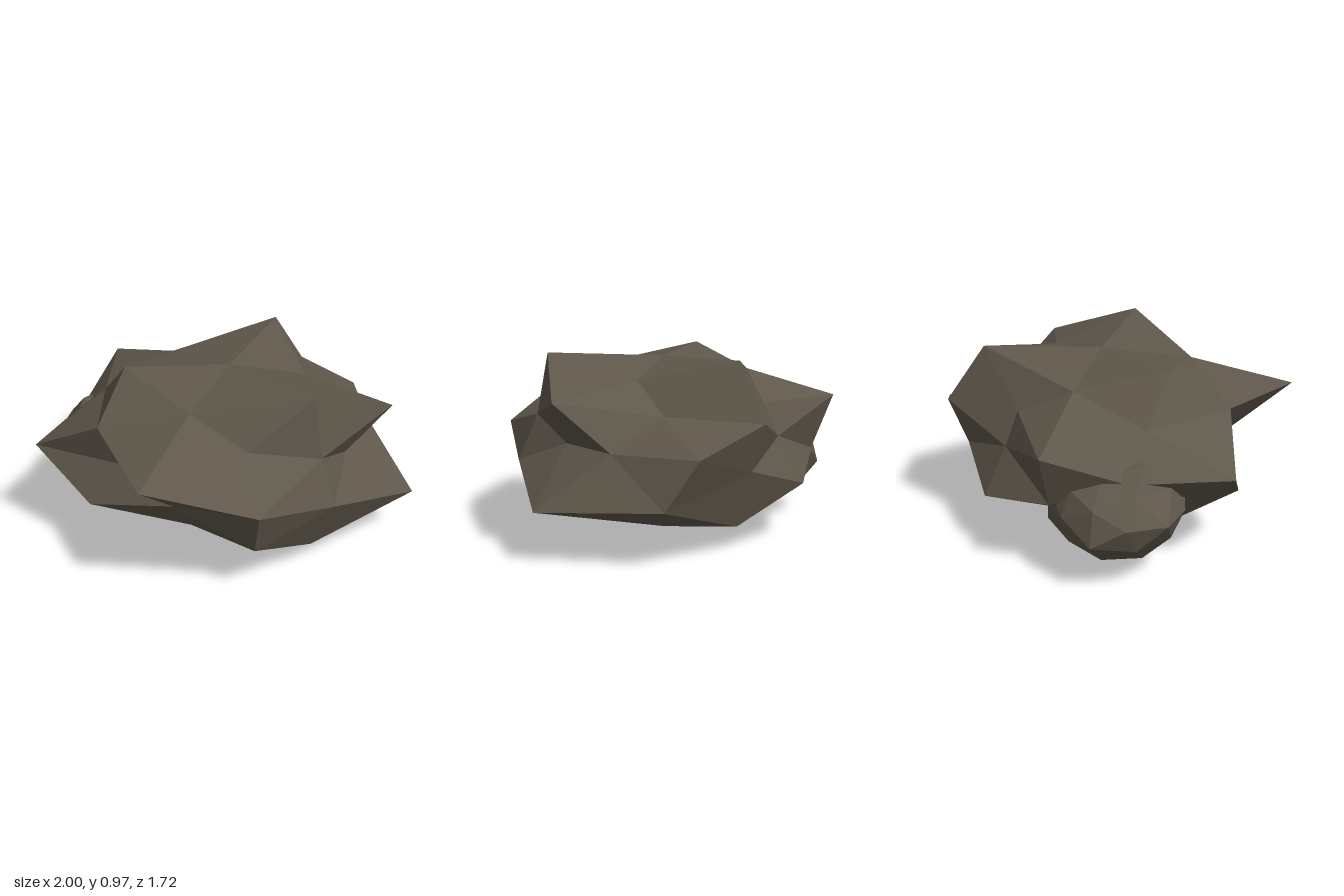
import * as THREE from 'three';

// Radius factors per direction family: longest axis + number of non-zero components.
// Inside a family the order follows the signs (+ before -) of the non-zero x, y, z.
const BOULDER = {
  x1: [0.78, 1.05],
  y1: [0.85, 1.14],
  z1: [0.995, 0.685],
  x2: [0.67, 0.95, 0.655, 0.9],
  y2: [0.78, 0.74, 1.06, 1.05],
  z2: [0.73, 0.7, 1.03, 0.98],
  x3: [1.015, 0.66, 1.178, 1.07, 0.902, 0.805, 0.975, 0.85],
  y3: [1.133, 1.12, 1.14, 1.1, 0.87, 0.835, 0.87, 0.87],
  z3: [0.765, 0.917, 0.88, 0.806, 1.157, 1.08, 0.75, 0.94],
};
const PEBBLE = {
  x1: [0.9, 1.0],
  y1: [0.85, 0.98],
  z1: [0.9, 0.85],
  x2: [0.9, 0.9, 0.9, 0.93],
  y2: [0.9, 0.9, 1.0, 0.97],
  z2: [0.9, 0.85, 0.9, 0.88],
  x3: [0.9, 0.9, 0.9, 0.9, 0.9, 0.85, 0.9, 0.92],
  y3: [0.85, 0.85, 0.9, 0.9, 0.9, 0.85, 0.9, 0.95],
  z3: [0.9, 0.9, 0.9, 0.9, 0.9, 0.88, 0.85, 1.0],
};

function radiusFor(v, table) {
  const c = v.toArray();
  const solid = c.filter((n) => Math.abs(n) > 0.01);
  const size = c.map(Math.abs);
  const axis = 'xyz'[size.indexOf(Math.max(...size))];
  const index = solid.reduce((bits, n) => bits * 2 + (n < 0 ? 1 : 0), 0);
  return table[axis + solid.length][index];
}

// Faceted stone: a subdivided icosahedron pushed in and out along its radii
function makeStone(name, table, scale, centre, material) {
  const geometry = new THREE.IcosahedronGeometry(1, 1);
  const pos = geometry.attributes.position;
  const v = new THREE.Vector3();
  for (let i = 0; i < pos.count; i++) {
    v.fromBufferAttribute(pos, i);
    v.multiplyScalar(radiusFor(v, table));
    pos.setXYZ(i, v.x * scale[0], v.y * scale[1], v.z * scale[2]);
  }
  geometry.computeVertexNormals();
  const mesh = new THREE.Mesh(geometry, material);
  mesh.name = name;
  mesh.position.set(...centre);
  return mesh;
}

export function createModel() {
  const group = new THREE.Group();
  group.name = 'rock';
  const stone = new THREE.MeshStandardMaterial({ color: 0x5f574b, flatShading: true });

  // Main boulder and the small stone tucked under its back corner
  group.add(makeStone('boulder', BOULDER, [1, 0.47, 0.92], [0.05, 0.54, -0.06], stone));
  group.add(makeStone('smallStone', PEBBLE, [0.4, 0.3, 0.4], [-0.51, 0.365, -0.41], stone));
  return group;
}
